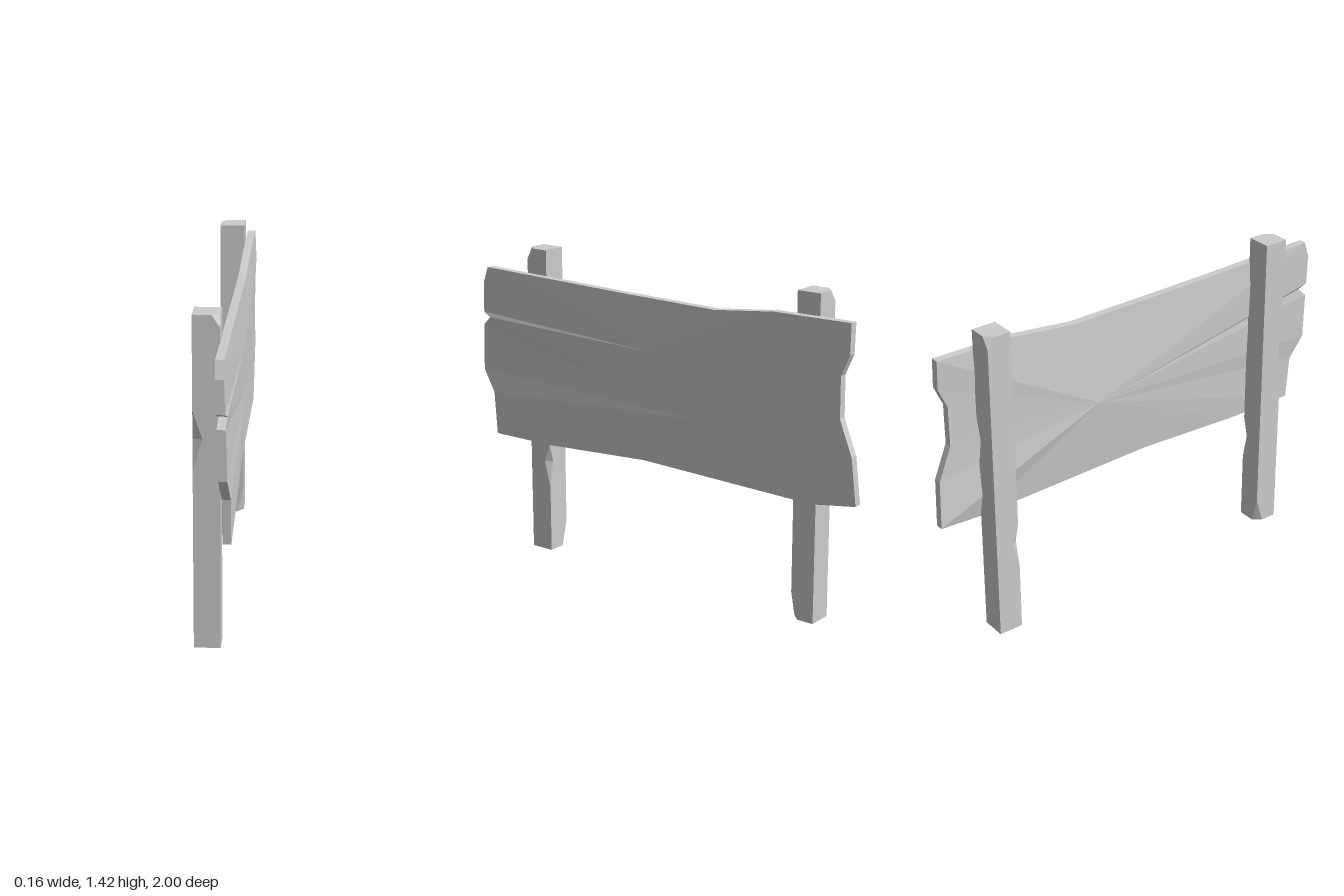
import * as THREE from 'three';

const wood = new THREE.MeshStandardMaterial({ color: 0xcccccc });
wood.name = 'plain grey wood';

// Flat-faceted mesh from a list of triangles
function facetMesh(name, tris) {
  const solid = tris.filter(([a, b, c]) => new THREE.Triangle(a, b, c).getArea() > 1e-7);
  const geo = new THREE.BufferGeometry().setFromPoints(solid.flat());
  geo.computeVertexNormals();
  const mesh = new THREE.Mesh(geo, wood);
  mesh.name = name;
  return mesh;
}

// Square post; each corner has chip depths [y, dx, dz], interpolated along its height
const HEIGHT = 1.42, HALF = 0.055;
const chips = [
  [[1.37, 0, 0], [HEIGHT, 0.033, 0.035]],
  [[0.31, 0, 0], [0.43, 0.022, 0.03], [0.52, 0, 0]],
  [[0, 0.03, 0.035], [0.12, 0, 0]],
  [[0.78, 0, 0], [0.91, 0.04, 0.015], [1.03, 0, 0]],
];

function chipAt(keys, y) {
  for (let i = 0; i < keys.length - 1; i++) {
    const [a, b] = [keys[i], keys[i + 1]];
    if (y >= a[0] && y <= b[0]) {
      const t = (y - a[0]) / (b[0] - a[0]);
      return [a[1] + (b[1] - a[1]) * t, a[2] + (b[2] - a[2]) * t];
    }
  }
  return [0, 0];
}

function makePost(name) {
  const signs = [[1, 1], [1, -1], [-1, -1], [-1, 1]];
  const ys = [...new Set([0, HEIGHT, ...chips.flat().map(k => k[0])])].sort((a, b) => a - b);
  const rings = ys.map(y => signs.flatMap(([sx, sz], c) => {
    const [dx, dz] = chipAt(chips[c], y);
    const alongX = new THREE.Vector3(sx * (HALF - dx), y, sz * HALF);
    const alongZ = new THREE.Vector3(sx * HALF, y, sz * (HALF - dz));
    return c % 2 === 0 ? [alongX, alongZ] : [alongZ, alongX];
  }));
  const tris = [];
  const top = new THREE.Vector3(0, HEIGHT, 0), bottom = new THREE.Vector3();
  for (let i = 0; i < 8; i++) {
    const j = (i + 1) % 8;
    for (let r = 0; r < rings.length - 1; r++) {
      const [lo, hi] = [rings[r], rings[r + 1]];
      tris.push([lo[i], lo[j], hi[j]], [lo[i], hi[j], hi[i]]);
    }
    const last = rings[rings.length - 1];
    tris.push([top, last[i], last[j]], [bottom, rings[0][j], rings[0][i]]);
  }
  return facetMesh(name, tris);
}

// Rough plank: outline points [z, y, front x], from the top edge round to the notch
const outline = [
  [0.96, 1.08, 0.068], [1, 1.1, 0.062], [1, 1.24, 0.058], [0.975, 1.31, 0.057],
  [0.2, 1.295, 0.058], [-0.3, 1.29, 0.06], [-0.6, 1.325, 0.06], [-0.965, 1.33, 0.06],
  [-0.965, 1.2, 0.066], [-0.925, 1.11, 0.064], [-0.925, 0.93, 0.062], [-0.985, 0.78, 0.062],
  [-1, 0.57, 0.045], [-0.8, 0.545, 0.065], [0.07, 0.565, 0.065], [0.6, 0.535, 0.074],
  [0.92, 0.535, 0.08], [0.935, 0.73, 0.079], [1, 0.83, 0.07], [1, 1.04, 0.064],
];
const RIDGE_END = 8, CORNER = 12, THICK = 0.035;

function makeBoard() {
  const n = outline.length;
  const front = outline.map(([z, y, x]) => new THREE.Vector3(x, y, z));
  const back = front.map(p => new THREE.Vector3(p.x - THICK, p.y, p.z));
  const ridge = new THREE.Vector3(0.072, 1.06, 0.02);
  const hollow = new THREE.Vector3(0.066, 0.8, -0.2);
  const backBulge = new THREE.Vector3(-0.005, 0.9, -0.2);
  const tris = [];
  for (let i = 0; i < n; i++) {
    const j = (i + 1) % n;
    // edge and back
    tris.push([front[i], front[j], back[j]], [front[i], back[j], back[i]]);
    tris.push([backBulge, back[i], back[j]]);
    // front, above and below the ridge
    if (i < RIDGE_END) tris.push([ridge, front[j], front[i]]);
    else if (i !== CORNER && j !== CORNER) tris.push([hollow, front[j], front[i]]);
  }
  // ridge joins and the bent lower corner
  tris.push([hollow, front[RIDGE_END], ridge], [hollow, ridge, front[0]]);
  tris.push([hollow, front[CORNER + 1], front[CORNER - 1]]);
  tris.push([front[CORNER - 1], front[CORNER + 1], front[CORNER]]);
  return facetMesh('signBoard', tris);
}

export function createModel() {
  const model = new THREE.Group();
  model.name = 'woodenSign';
  const frontPost = makePost('frontPost');
  frontPost.position.set(-0.03, 0, 0.705);
  const rearPost = makePost('rearPost');
  rearPost.position.set(-0.03, 0, -0.742);
  rearPost.rotation.y = Math.PI;
  model.add(frontPost, rearPost, makeBoard());
  return model;
}
